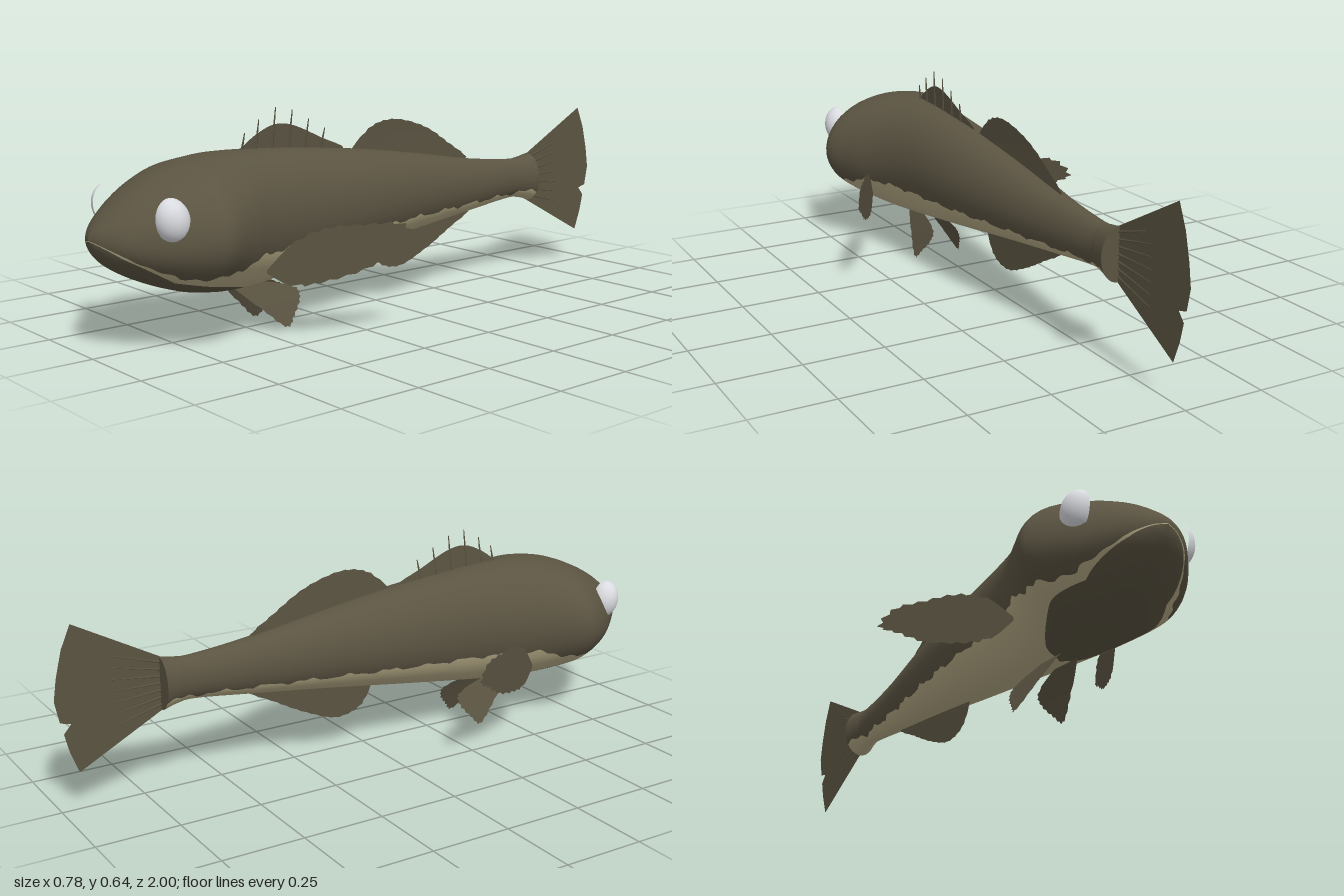
import * as THREE from 'three';

const olive = new THREE.MeshStandardMaterial({ color: 0x5b5442, side: THREE.DoubleSide });
olive.name = 'olive skin';
const cream = new THREE.MeshStandardMaterial({ color: 0xb8ad88 });
cream.name = 'cream belly';
const pale = new THREE.MeshStandardMaterial({ color: 0xdadbe0 });
pale.name = 'pale eye';

// Body stations: z, top, bottom, half width, height of the widest point
const stations = [
  [1.0, 0.33, 0.325, 0.0, 0.327], [0.985, 0.355, 0.29, 0.045, 0.32], [0.95, 0.39, 0.25, 0.1, 0.315],
  [0.89, 0.437, 0.212, 0.158, 0.31], [0.82, 0.475, 0.18, 0.215, 0.312], [0.75, 0.503, 0.156, 0.255, 0.32],
  [0.7, 0.515, 0.145, 0.26, 0.327], [0.61, 0.528, 0.133, 0.222, 0.33], [0.5, 0.528, 0.133, 0.178, 0.33],
  [0.35, 0.52, 0.148, 0.148, 0.335], [0.08, 0.493, 0.184, 0.125, 0.335], [-0.15, 0.46, 0.215, 0.098, 0.335],
  [-0.39, 0.42, 0.244, 0.064, 0.33], [-0.58, 0.4, 0.266, 0.045, 0.33], [-0.64, 0.402, 0.262, 0.049, 0.33],
  [-0.685, 0.41, 0.25, 0.058, 0.33],
];
const spline = pick => new THREE.CatmullRomCurve3(stations.map(pick), false, 'catmullrom', 0.5);
const heights = spline(s => new THREE.Vector3(s[0], s[1], s[2]));
const widths = spline(s => new THREE.Vector3(s[3], s[4], 0));

function skin(u, a) {
  const h = heights.getPoint(u), w = widths.getPoint(u), c = Math.cos(a);
  const y = w.y + c * (c > 0 ? h.y - w.y : w.y - h.z);
  return new THREE.Vector3(w.x * Math.sin(a), y, h.x);
}

// Angle at which the skin passes through height y
function angleAt(u, y) {
  const h = heights.getPoint(u), w = widths.getPoint(u);
  const c = (y - w.y) / (y > w.y ? h.y - w.y : w.y - h.z);
  return Math.acos(THREE.MathUtils.clamp(c, -1, 1));
}

function lookup(table, z) {
  for (let i = 1; i < table.length; i++) {
    const [z0, v0] = table[i - 1], [z1, v1] = table[i];
    if (z >= z1) return v0 + (v1 - v0) * (z - z0) / (z1 - z0);
  }
  return table[table.length - 1][1];
}

// Edges of the pale flank: upper edge and chin edge
const flankTop = [[1, 0.327], [0.95, 0.29], [0.82, 0.222], [0.7, 0.222], [0.55, 0.257], [0.2, 0.262], [-0.1, 0.272], [-0.69, 0.288]];
const chinEdge = [[1, 0.325], [0.95, 0.285], [0.82, 0.208], [0.7, 0.185], [0.55, 0.145], [0.46, 0.1], [-0.69, 0.1]];

function bodyGeometry() {
  const rows = 150, pos = [], nor = [], index = [[], []];
  const counts = [18, 10, 8];
  let size = 0;
  for (let i = 0; i <= rows; i++) {
    const u = i / rows, z = heights.getPoint(u).x;
    const ragged = 0.005 * Math.sin(z * 47) + 0.004 * Math.sin(z * 113 + 1);
    const hi = angleAt(u, lookup(flankTop, z) + ragged * Math.min(1, (1 - z) * 4));
    const lo = Math.max(hi, angleAt(u, lookup(chinEdge, z)));
    const stops = [0, hi, lo, Math.PI], half = [];
    counts.forEach((n, k) => {
      for (let j = 0; j < n; j++) half.push(stops[k] + (stops[k + 1] - stops[k]) * j / n);
    });
    const ring = [...half, Math.PI, ...half.slice().reverse().map(a => 2 * Math.PI - a)];
    size = ring.length;
    for (const a of ring) {
      const p = skin(u, a), uc = THREE.MathUtils.clamp(u, 0.004, 0.996), e = 0.003;
      const du = skin(uc + e, a).sub(skin(uc - e, a));
      const da = skin(uc, a + e).sub(skin(uc, a - e));
      const n = da.cross(du).normalize();
      pos.push(p.x, p.y, p.z);
      nor.push(n.x, n.y, n.z);
    }
  }
  for (let i = 0; i < rows; i++) {
    for (let j = 0; j < size - 1; j++) {
      const k = Math.min(j, size - 2 - j);
      const list = index[k >= counts[0] && k < counts[0] + counts[1] ? 1 : 0];
      const a = i * size + j, c = a + size;
      list.push(a, a + 1, c, a + 1, c + 1, c);
    }
  }
  const g = new THREE.BufferGeometry();
  g.setAttribute('position', new THREE.Float32BufferAttribute(pos, 3));
  g.setAttribute('normal', new THREE.Float32BufferAttribute(nor, 3));
  g.setIndex([...index[0], ...index[1]]);
  g.addGroup(0, index[0].length, 0);
  g.addGroup(index[0].length, index[1].length, 1);
  return g;
}

// Flat fin from a (z, y) outline; side(z, y) gives x, and teeth notch the free edge
function fin(name, outline, side, teeth = 0, depth = 0) {
  const curve = new THREE.SplineCurve(outline.map(p => new THREE.Vector2(...p)));
  const centre = outline.reduce((s, p) => s.add(new THREE.Vector2(...p)), new THREE.Vector2()).divideScalar(outline.length);
  const n = Math.max(teeth * 2, 28);
  const pts = curve.getPoints(n).map((p, i) =>
    teeth && i % 2 && i > 3 && i < n - 3 ? p.lerp(centre, depth) : p);
  const g = new THREE.ShapeGeometry(new THREE.Shape(pts));
  const p = g.attributes.position;
  for (let i = 0; i < p.count; i++) {
    const z = p.getX(i), y = p.getY(i);
    p.setXYZ(i, side(z, y), y, z);
  }
  g.computeVertexNormals();
  const mesh = new THREE.Mesh(g, olive);
  mesh.name = name;
  return mesh;
}

function spine(name, from, to, radius) {
  const a = new THREE.Vector3(...from), b = new THREE.Vector3(...to);
  const mesh = new THREE.Mesh(new THREE.CylinderGeometry(radius * 0.3, radius, a.distanceTo(b), 5), olive);
  mesh.position.copy(a).lerp(b, 0.5);
  mesh.quaternion.setFromUnitVectors(new THREE.Vector3(0, 1, 0), b.sub(a).normalize());
  mesh.name = name;
  return mesh;
}

export function createModel() {
  const fish = new THREE.Group();
  fish.name = 'fish';

  const body = new THREE.Mesh(bodyGeometry(), [olive, cream]);
  body.name = 'body';
  const stump = new THREE.Mesh(new THREE.CircleGeometry(1, 32), olive);
  stump.name = 'tailStump';
  stump.scale.set(0.058, 0.08, 1);
  stump.position.set(0, 0.33, -0.684);
  stump.rotation.y = Math.PI;
  fish.add(body, stump);

  // Fins on the centre line
  const lean = (z, y) => Math.max(0, y - 0.5) * 0.07;
  fish.add(
    fin('firstDorsalFin', [[0.53, 0.515], [0.46, 0.565], [0.39, 0.592], [0.32, 0.583], [0.22, 0.54], [0.13, 0.497], [0.3, 0.49], [0.52, 0.5]], lean),
    fin('secondDorsalFin', [[0.11, 0.48], [0.03, 0.555], [-0.07, 0.575], [-0.2, 0.542], [-0.31, 0.48], [-0.39, 0.415], [-0.15, 0.43], [0.1, 0.47]], lean, 22, 0.03),
    fin('analFin', [[0.04, 0.2], [0.0, 0.125], [-0.09, 0.1], [-0.2, 0.138], [-0.31, 0.195], [-0.4, 0.25], [-0.2, 0.25], [0.03, 0.21]], () => 0.005, 22, 0.03));

  // Spines of the first dorsal fin
  [[0.5, 0.575], [0.45, 0.61], [0.39, 0.642], [0.33, 0.63], [0.27, 0.6], [0.21, 0.568]].forEach(([z, y]) =>
    fish.add(spine('dorsalSpine', [0, 0.5, z + 0.01], [0.01, y, z], 0.005)));

  // Fan tail with a small tear in the trailing edge
  const tail = [[-0.67, 0.405], [-0.94, 0.55], [-0.97, 0.48], [-0.99, 0.4], [-1, 0.335], [-0.987, 0.27],
    [-0.955, 0.262], [-0.978, 0.235], [-0.965, 0.18], [-0.94, 0.113], [-0.67, 0.255]];
  const tailGeo = new THREE.ShapeGeometry(new THREE.Shape(tail.map(p => new THREE.Vector2(...p))));
  tailGeo.rotateY(-Math.PI / 2);
  const tailFin = new THREE.Mesh(tailGeo, olive);
  tailFin.name = 'tailFin';
  fish.add(tailFin);
  for (let i = -3; i <= 3; i++) {
    fish.add(spine('tailRay', [0, 0.33 + i * 0.02, -0.67], [0, 0.333 + i * 0.035, -0.83], 0.004));
  }

  // Paired fins and eyes
  for (const s of [1, -1]) {
    const label = s > 0 ? 'left' : 'right';
    fish.add(fin(label + 'PectoralFin', [[0.545, 0.21], [0.47, 0.295], [0.39, 0.328], [0.3, 0.333], [0.21, 0.332], [0.165, 0.287],
      [0.22, 0.25], [0.3, 0.2], [0.4, 0.168], [0.48, 0.16], [0.545, 0.2]],
    z => s * (0.175 + (0.54 - z) * 0.575), 22, 0.08));
    fish.add(fin(label + 'PelvicFin', [[0.56, 0.135], [0.48, 0.06], [0.41, 0.002], [0.375, 0.03], [0.34, 0.075], [0.35, 0.11], [0.46, 0.14]],
      (z, y) => s * (0.026 + 0.057 * Math.pow(Math.max(0, 0.135 - y) / 0.135, 0.85)), 16, 0.07));
    const eye = new THREE.Mesh(new THREE.SphereGeometry(1, 32, 16, 0, Math.PI * 2, 0, Math.PI / 2), pale);
    eye.name = label + 'Eye';
    eye.rotation.set(0.25, 0, -s * Math.PI / 2);
    eye.scale.set(0.063, 0.049, 0.049);
    eye.position.set(s * 0.165, 0.385, 0.843);
    fish.add(eye);
  }
  return fish;
}
